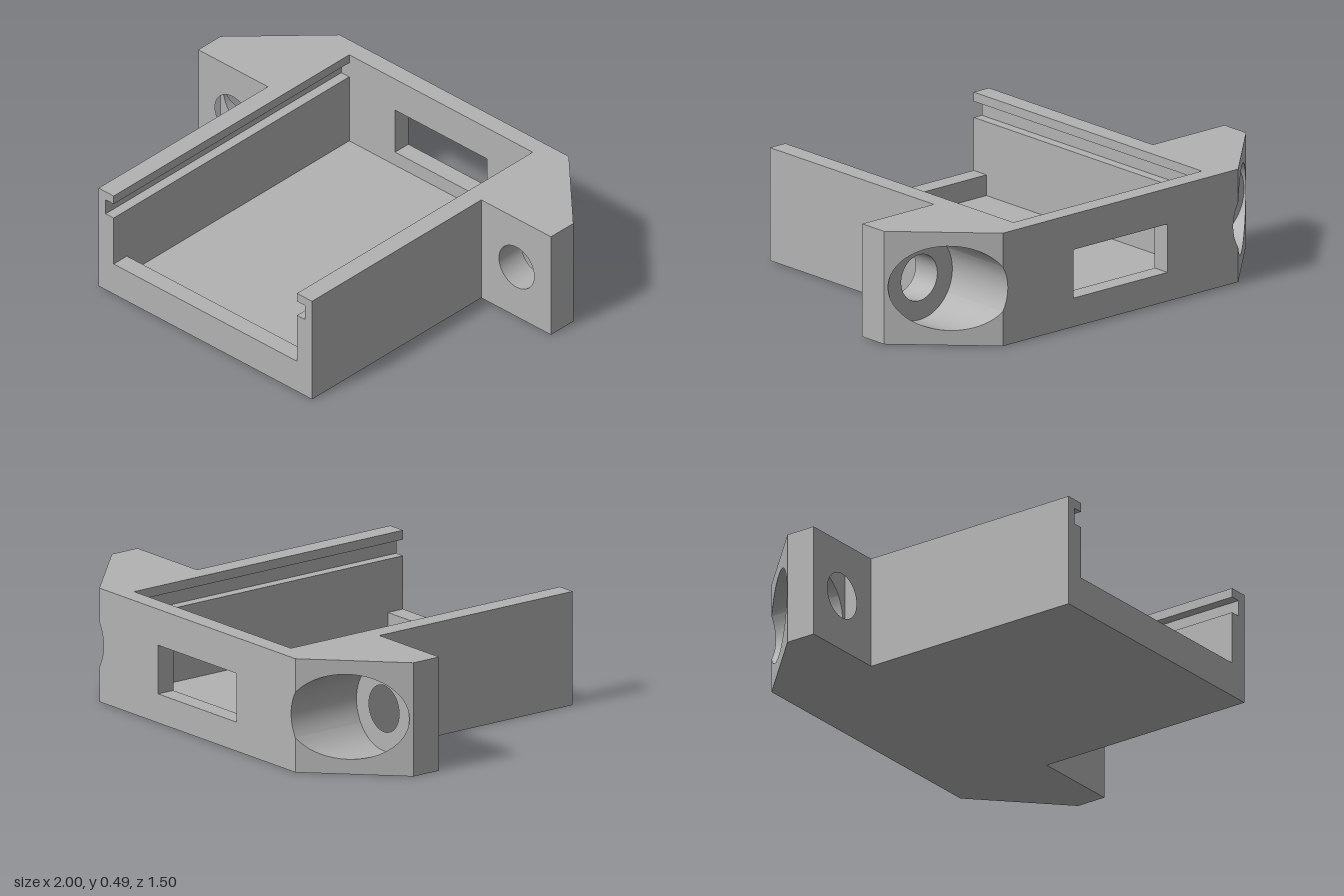
import * as THREE from 'three';
import { toCreasedNormals } from 'three/addons/utils/BufferGeometryUtils.js';

const H = 0.49;                 // overall height
const BODY = 0.605;             // half width of the tray
const BACK = -0.75, FRONT = 0.75;
const SEAT = -0.405;            // bottom of the counterbores
const HOLE = { x: 0.805, y: 0.247 };

const shapeOf = (pts) => new THREE.Shape(pts.map(([x, y]) => new THREE.Vector2(x, y)));

// Extrude a shape in the xy plane from z0 to z1
function prism(shape, z0, z1) {
  const geo = new THREE.ExtrudeGeometry(shape, { depth: z1 - z0, bevelEnabled: false, curveSegments: 24 });
  return geo.translate(0, 0, z0);
}

// U-shaped section with a slot for a sliding lid in each wall
function channel(floorY) {
  const half = [[BODY, 0], [BODY, H], [0.52, H], [0.52, 0.45], [0.565, 0.45], [0.565, 0.38], [0.52, 0.38], [0.52, floorY]];
  return shapeOf([...half, ...half.map(([x, y]) => [-x, y]).reverse()]);
}

// Points of the counterbore circle between two angles
function arc(a0, a1, n) {
  const r = 0.183;
  return Array.from({ length: n + 1 }, (_, i) => {
    const a = a0 + ((a1 - a0) * i) / n;
    return [HOLE.x + r * Math.cos(a), HOLE.y + r * Math.sin(a)];
  });
}

export function createModel() {
  const model = new THREE.Group();
  model.name = 'mountingTray';
  const grey = new THREE.MeshStandardMaterial({ color: 0xb2b2b2 });
  grey.name = 'grey plastic';

  const add = (name, geo, parent = model) => {
    const mesh = new THREE.Mesh(toCreasedNormals(geo, 0.5), grey);
    mesh.name = name;
    parent.add(mesh);
  };

  // Tray with a raised lip at the open front
  add('tray', prism(channel(0.06), -0.67, 0.67));
  add('frontLip', prism(channel(0.15), 0.67, FRONT));

  // Back wall with its connector window
  const wall = shapeOf([[-BODY, 0], [BODY, 0], [BODY, H], [-BODY, H]]);
  wall.holes.push(shapeOf([[-0.26, 0.125], [-0.26, 0.335], [0.26, 0.335], [0.26, 0.125]]));
  add('backWall', prism(wall, BACK, -0.67));

  // Mounting ears, chamfered behind, each with a counterbored screw hole
  const cut = 0.65;                                     // where the chamfer begins
  const t = Math.acos((cut - HOLE.x) / 0.183);          // angle where the bore crosses it
  for (const side of [1, -1]) {
    const ear = new THREE.Group();
    ear.name = side > 0 ? 'leftEar' : 'rightEar';
    model.add(ear);
    const mirrored = (pts) => shapeOf(pts.map(([x, y]) => [x * side, y]));

    // Front plate with the screw hole
    const plate = mirrored([[BODY, 0], [1, 0], [1, H], [BODY, H]]);
    plate.holes.push(new THREE.Path().absarc(HOLE.x * side, HOLE.y, 0.1, 0, Math.PI * 2, true));
    add('earPlate', prism(plate, SEAT, -0.27), ear);

    // Strip next to the tray, nicked by the counterbore
    const strip = mirrored([[BODY, 0], [cut, 0], ...arc(2 * Math.PI - t, t, 10), [cut, H], [BODY, H]]);
    add('earRoot', prism(strip, BACK, SEAT), ear);

    // Chamfered block around the counterbore
    const block = mirrored([[cut, 0], [1, 0], [1, H], [cut, H], ...arc(t, -t, 48)]);
    const geo = prism(block, BACK, SEAT);
    const p = geo.attributes.position;
    for (let i = 0; i < p.count; i++) {
      if (p.getZ(i) < SEAT - 0.01) {
        const k = (Math.abs(p.getX(i)) - cut) / (1 - cut);
        p.setZ(i, BACK + k * (SEAT - BACK));
      }
    }
    add('earChamferBlock', geo, ear);
  }
  return model;
}
